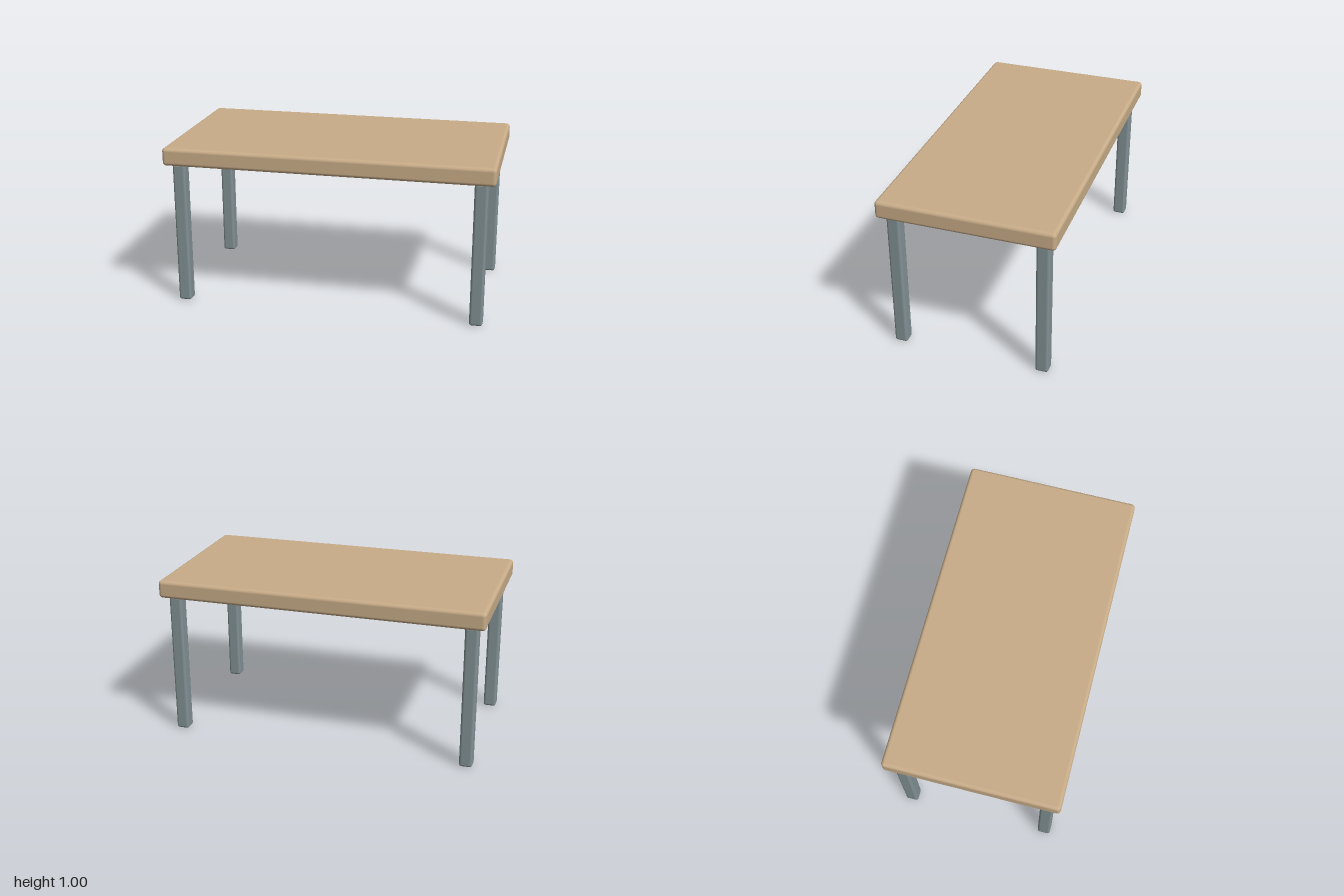
import * as THREE from 'three';
import { RoundedBoxGeometry } from 'three/addons/geometries/RoundedBoxGeometry.js';

export function createModel() {
  const wood = new THREE.MeshStandardMaterial({ name: 'tan wood', color: 0xc8ac88 });
  const metal = new THREE.MeshStandardMaterial({ name: 'grey metal', color: 0x829195 });

  const table = new THREE.Group();
  table.name = 'table';

  const addBlock = (name, size, position, radius, material) => {
    const mesh = new THREE.Mesh(new RoundedBoxGeometry(...size, 4, radius), material);
    mesh.name = name;
    mesh.position.set(...position);
    table.add(mesh);
  };

  // Softly rounded slab
  addBlock('tableTop', [2, 0.11, 1.06], [0, 0.945, 0], 0.022, wood);

  // Four square legs, one near each corner
  const legHeight = 0.89;
  for (const [xName, x] of [['Left', 1], ['Right', -1]]) {
    for (const [zName, z] of [['front', 1], ['back', -1]]) {
      addBlock(`${zName}${xName}Leg`, [0.08, legHeight, 0.08],
        [x * 0.914, legHeight / 2, z * 0.444], 0.016, metal);
    }
  }
  return table;
}
